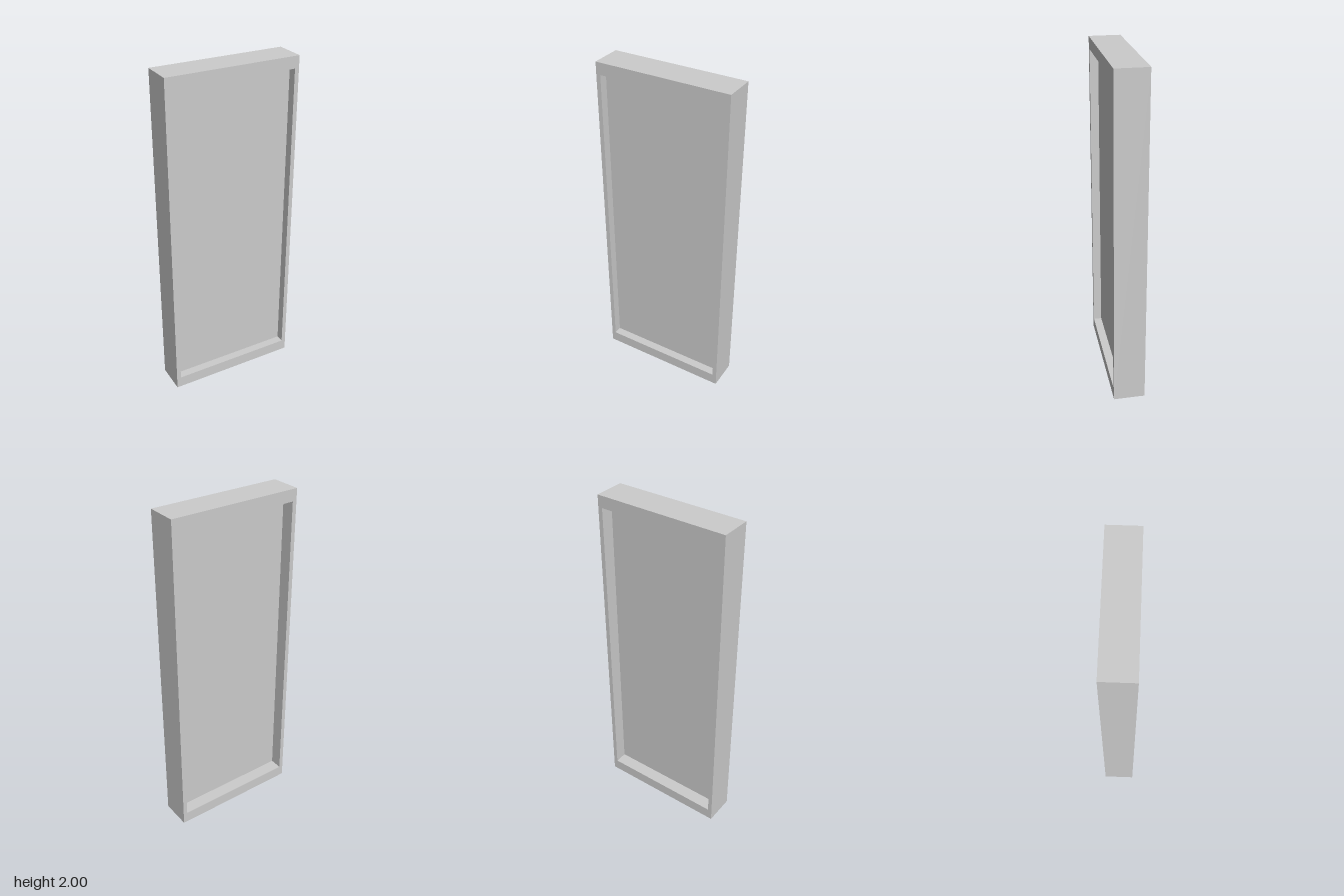
import * as THREE from 'three';

const W = 0.8, H = 2, D = 0.187;          // outer size
const SIDE = 0.026, RAIL = 0.07;          // frame widths: uprights, top and bottom
const PANEL_BACK = -0.016, PANEL_FRONT = 0.043;

// Rectangle centred on x = 0, rising from y0 to y1
function rectangle(target, halfWidth, y0, y1) {
  target.moveTo(-halfWidth, y0);
  target.lineTo(halfWidth, y0);
  target.lineTo(halfWidth, y1);
  target.lineTo(-halfWidth, y1);
  target.closePath();
  return target;
}

export function createModel() {
  const model = new THREE.Group();
  model.name = 'framedPanel';
  const material = new THREE.MeshStandardMaterial({ color: 0xcccccc });
  const innerHalf = W / 2 - SIDE;

  // Deep frame with a rectangular opening
  const outline = rectangle(new THREE.Shape(), W / 2, 0, H);
  outline.holes.push(rectangle(new THREE.Path(), innerHalf, RAIL, H - RAIL));
  const frameGeometry = new THREE.ExtrudeGeometry(outline, { depth: D, bevelEnabled: false });
  frameGeometry.translate(0, 0, -D / 2);
  const frame = new THREE.Mesh(frameGeometry, material);
  frame.name = 'frame';

  // Panel filling the opening, recessed deeper from the back than the front
  const panel = new THREE.Mesh(
    new THREE.BoxGeometry(innerHalf * 2, H - RAIL * 2, PANEL_FRONT - PANEL_BACK),
    material
  );
  panel.name = 'panel';
  panel.position.set(0, H / 2, (PANEL_FRONT + PANEL_BACK) / 2);

  model.add(frame, panel);
  return model;
}
